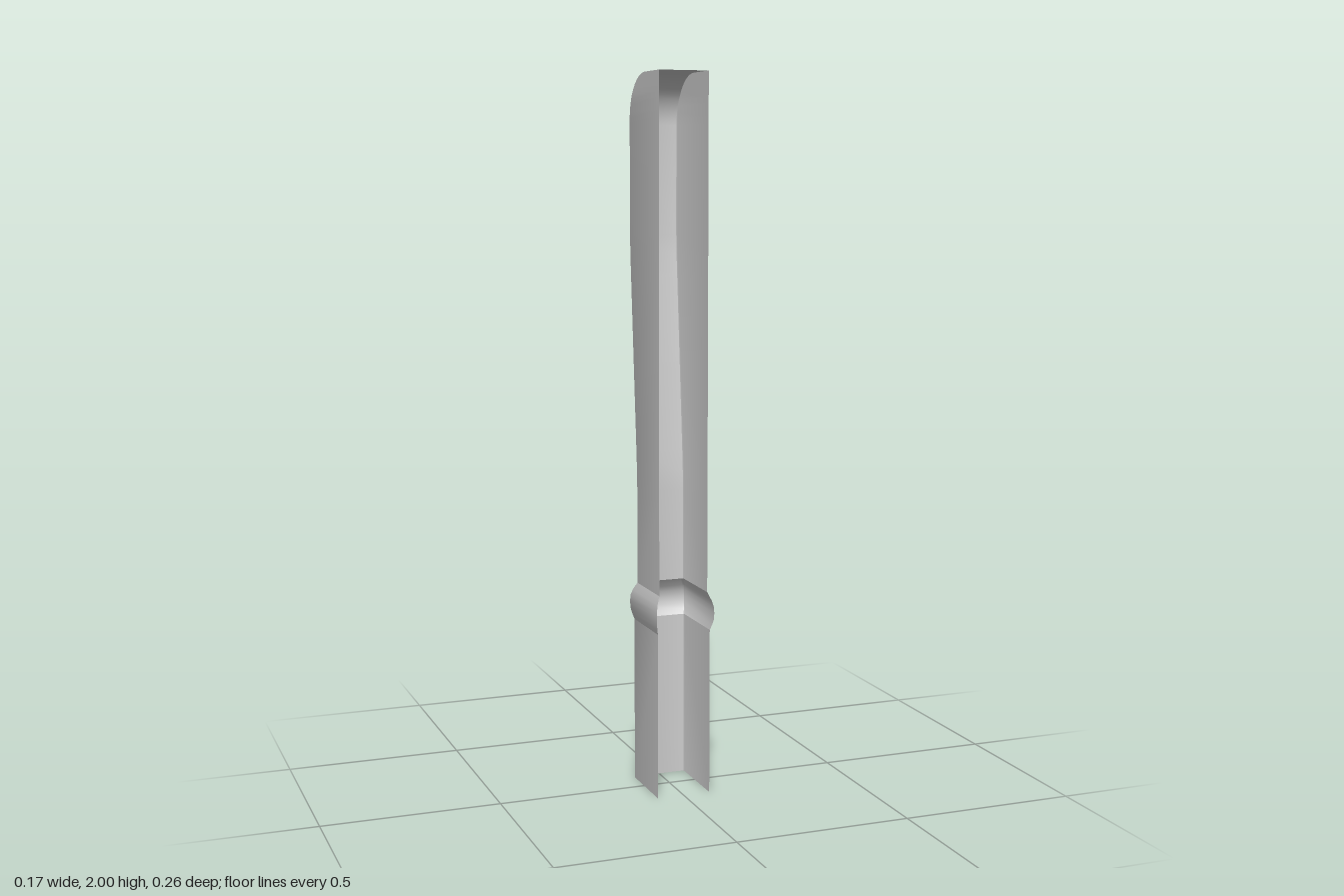
import * as THREE from 'three';
import { toCreasedNormals } from 'three/addons/utils/BufferGeometryUtils.js';

const material = new THREE.MeshStandardMaterial({ color: 0xcccccc, side: THREE.DoubleSide });

// U-shaped section, open to the front, with small rounded back corners
function section([y, w, back, front, c]) {
  const k = c * 0.3;
  const half = [[w, front], [w, back + c], [w - k, back + k], [w - c, back]];
  return [
    ...half.map(([x, z]) => new THREE.Vector3(-x, y, z)),
    ...half.reverse().map(([x, z]) => new THREE.Vector3(x, y, z)),
  ];
}

// Skin neighbouring sections, leaving out collapsed triangles
function loft(rows) {
  const rings = rows.map(section);
  const positions = [];
  const tri = new THREE.Triangle();
  const add = (a, b, c) => {
    if (tri.set(a, b, c).getArea() > 1e-8) for (const p of [a, b, c]) positions.push(p.x, p.y, p.z);
  };
  for (let j = 0; j < rings.length - 1; j++) {
    const lo = rings[j], hi = rings[j + 1];
    for (let i = 0; i < lo.length - 1; i++) {
      add(lo[i], hi[i], lo[i + 1]);
      add(lo[i + 1], hi[i], hi[i + 1]);
    }
  }
  const g = new THREE.BufferGeometry();
  g.setAttribute('position', new THREE.Float32BufferAttribute(positions, 3));
  return toCreasedNormals(g, 0.65);
}

export function createModel() {
  const group = new THREE.Group();
  const part = (name, rows) => {
    const mesh = new THREE.Mesh(loft(rows), material);
    mesh.name = name;
    group.add(mesh);
  };
  const c = 0.007;

  // Straight lower sleeve, open at the bottom
  part('lowerSleeve', [[0, 0.077, -0.085, 0.115, c], [0.47, 0.077, -0.085, 0.115, c]]);

  // Bulging collar: y, half width, back, front, corner
  part('collar', [
    [0.47, 0.077, -0.085, 0.115, c],
    [0.485, 0.081, -0.092, 0.122, c],
    [0.5, 0.084, -0.098, 0.127, c],
    [0.52, 0.085, -0.1, 0.129, c],
    [0.538, 0.084, -0.098, 0.127, c],
    [0.555, 0.08, -0.09, 0.121, c],
    [0.577, 0.071, -0.075, 0.11, c],
  ]);

  // Upper shell: straight neck, widening back, rounded shoulder and flat roof
  const w = 0.071, front = 0.11;
  const rows = [
    [0.577, -0.075], [0.84, -0.075], [0.89, -0.0765], [0.95, -0.081],
    [1.2, -0.102], [1.44, -0.122], [1.5, -0.127], [1.56, -0.13],
  ].map(([y, z]) => [y, w, z, front, c]);
  const steps = 12;
  for (let i = 0; i <= steps; i++) {
    const a = (i / steps) * Math.PI / 2;
    const corner = c * Math.max(0, 1 - i / 5);
    rows.push([1.86 + 0.14 * Math.sin(a), w, -0.13 * Math.cos(a), front, corner]);
  }
  rows.push([2, w, front, front, 0]);
  part('upperShell', rows);

  return group;
}
